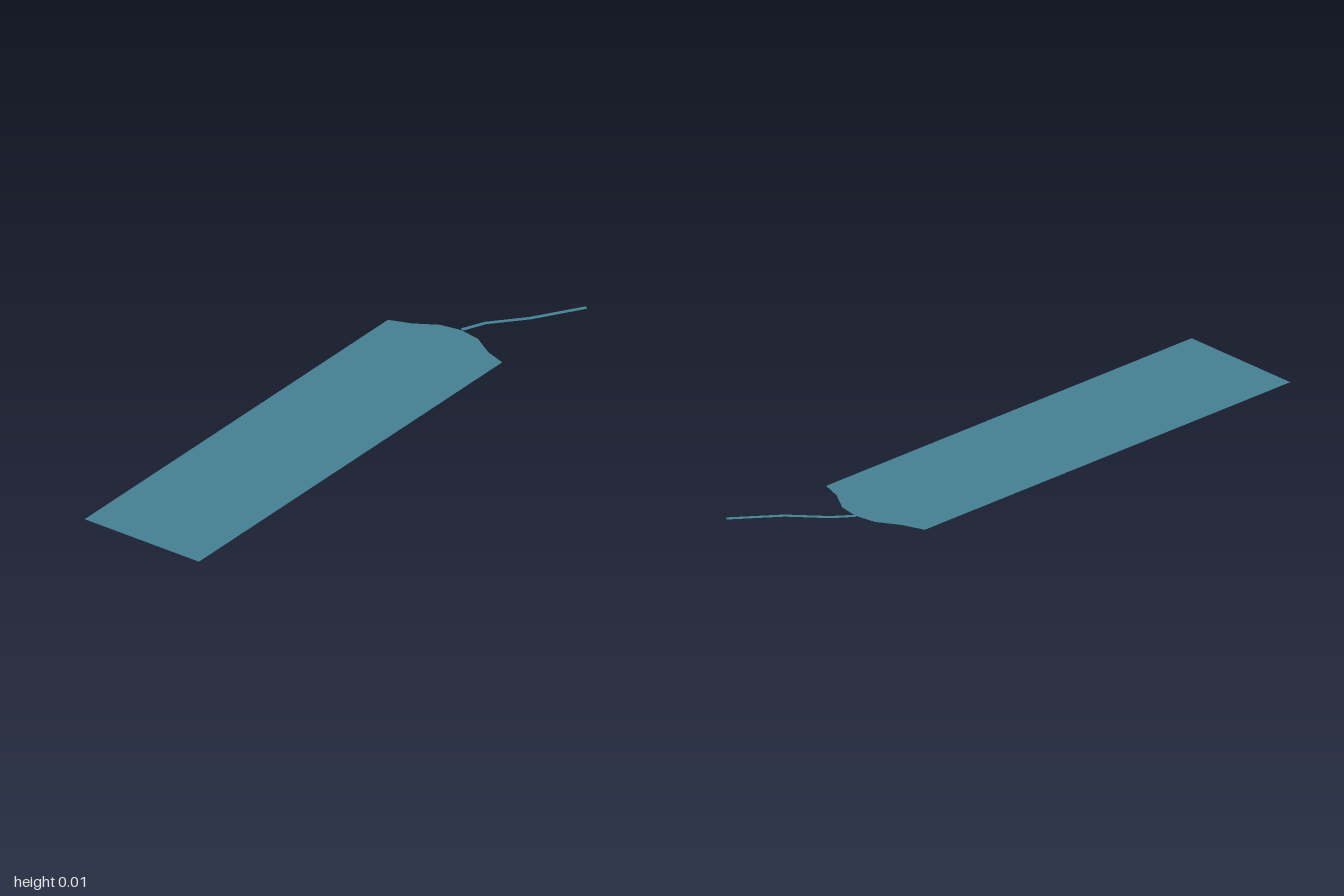
import * as THREE from 'three';

const material = new THREE.MeshStandardMaterial({
  color: 0x458296, side: THREE.DoubleSide, flatShading: true,
});

// Flat card with a faceted, rounded right end
function createCard() {
  const outline = [
    [-1, -0.24], [0.58, -0.24], [0.607, -0.166], [0.653, -0.09], [0.666, -0.016],
    [0.653, 0.058], [0.605, 0.134], [0.58, 0.208], [-1, 0.208],
  ];
  const shape = new THREE.Shape(outline.map(([x, z]) => new THREE.Vector2(x, -z)));
  const geometry = new THREE.ShapeGeometry(shape).rotateX(-Math.PI / 2);
  // keep the upward normals whichever way the outline was wound
  const card = new THREE.Mesh(geometry, material);
  card.name = 'card';
  return card;
}

// Thin flat ribbon that rises gently away from the tip of the card
function createRibbon() {
  const path = [
    [0.668, 0.001, -0.017], [0.738, 0.006, 0.022], [0.842, 0.011, 0.122], [0.995, 0.015, 0.226],
  ].map((p) => new THREE.Vector3(...p));
  const halfWidth = 0.008;
  const positions = [];
  const index = [];
  path.forEach((p, i) => {
    const before = path[Math.max(i - 1, 0)];
    const after = path[Math.min(i + 1, path.length - 1)];
    const along = after.clone().sub(before).setY(0).normalize();
    const dx = -along.z * halfWidth;
    const dz = along.x * halfWidth;
    positions.push(p.x - dx, p.y, p.z - dz, p.x + dx, p.y, p.z + dz);
    if (i > 0) {
      const a = 2 * (i - 1);
      index.push(a, a + 1, a + 2, a + 1, a + 3, a + 2);
    }
  });
  const geometry = new THREE.BufferGeometry();
  geometry.setAttribute('position', new THREE.Float32BufferAttribute(positions, 3));
  geometry.setIndex(index);
  geometry.computeVertexNormals();
  const ribbon = new THREE.Mesh(geometry, material);
  ribbon.name = 'ribbon';
  return ribbon;
}

export function createModel() {
  const model = new THREE.Group();
  model.name = 'bookmark';
  model.add(createCard(), createRibbon());
  return model;
}
